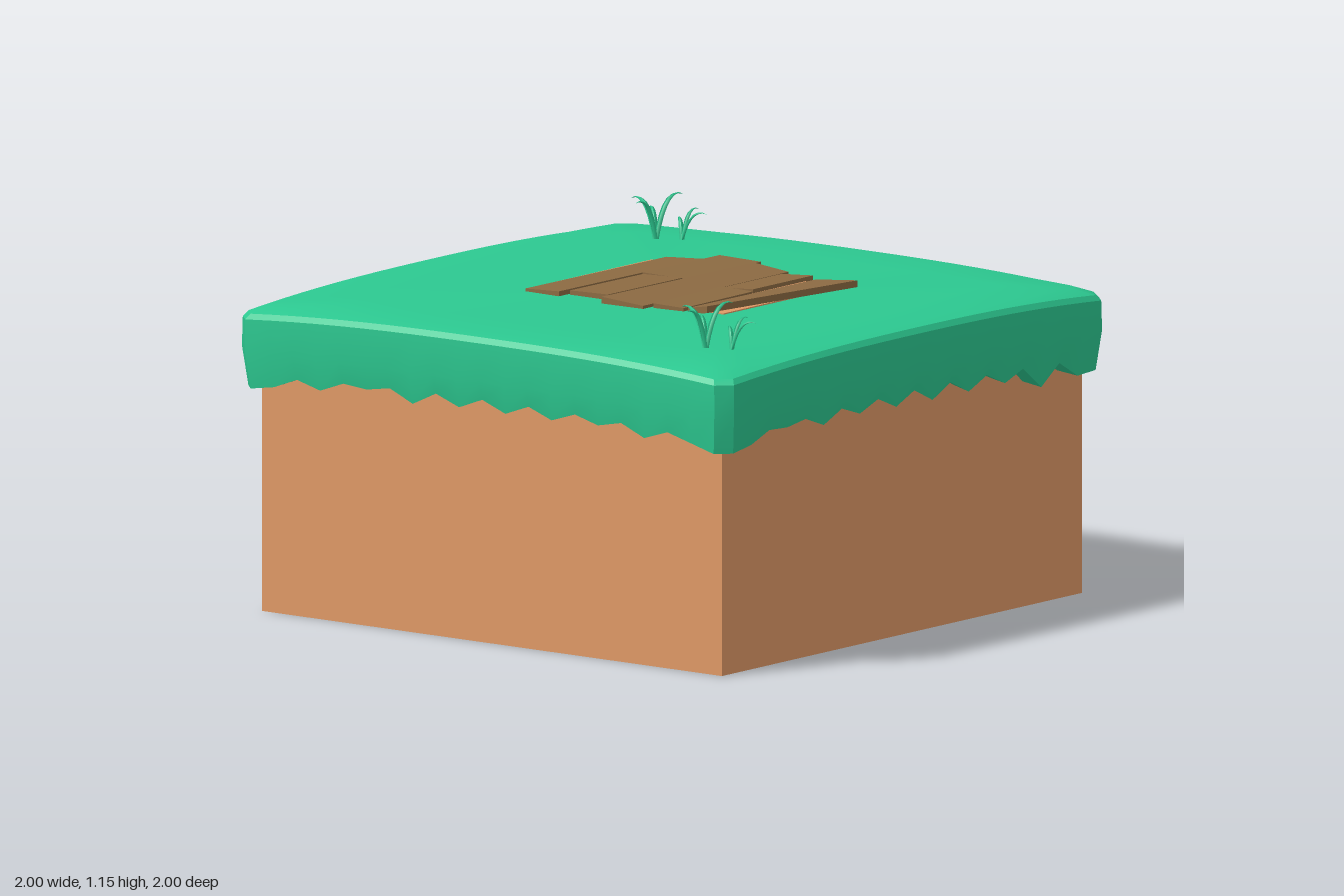
import * as THREE from 'three';
import { toCreasedNormals } from 'three/addons/utils/BufferGeometryUtils.js';

const mat = (color, extra = {}) => new THREE.MeshStandardMaterial({ color, ...extra });
const grassMat = mat(0x2cc890);
const bladeMat = mat(0x2cc890, { side: THREE.DoubleSide });
const dirtMat = mat(0xdf9966);
const woodMat = mat(0x8c6a42, { flatShading: true });

function add(parent, name, geometry, material) {
  const mesh = new THREE.Mesh(geometry, material);
  mesh.name = name;
  parent.add(mesh);
  return mesh;
}

// Heights of the hanging tooth tips along each side (front, right, back, left)
const TIPS = [
  [0.745, 0.755, 0.78, 0.755, 0.765, 0.765, 0.765, 0.77, 0.75, 0.755],
  [0.745, 0.775, 0.755, 0.765, 0.76, 0.755, 0.755, 0.755, 0.715, 0.725],
  [0.725, 0.75, 0.765, 0.76, 0.77, 0.76, 0.75, 0.755, 0.76, 0.745],
  [0.74, 0.755, 0.76, 0.765, 0.755, 0.77, 0.76, 0.75, 0.76, 0.74],
];

// Grass cap: rings around a square, from the inner hem up and over to the centre
function grassCap() {
  const around = [];
  TIPS.forEach((tips, side) => {
    const n = tips.length * 2;
    for (let i = 0; i <= n; i++) {
      const t = -0.955 + (1.91 * i) / n;
      const notch = 0.8 - 0.035 * t * t;
      const end = i === 0 || i === n;
      const hem = end ? 0.73 : i % 2 ? tips[(i - 1) / 2] : notch;
      around.push({ t, side, hem, drop: 0.033 * Math.pow(Math.abs(t), 2.5) });
    }
  });
  const rings = [
    (p) => [0.93, p.hem + 0.02],
    (p) => [0.985, p.hem],
    (p) => [1, 0.86],
    (p) => [0.998, 0.985 - p.drop],
    (p) => [0.985, 1.003 - p.drop],
    (p) => [0.93, 1.011 - p.drop * 0.5],
    () => [0.75, 1.012],
    () => [0, 1.012],
  ];
  const points = [];
  const index = [];
  const n = around.length;
  rings.forEach((ring, r) => {
    around.forEach((p, j) => {
      const [s, y] = ring(p);
      const a = (p.side * Math.PI) / 2;
      const c = Math.round(Math.cos(a)), d = Math.round(Math.sin(a));
      points.push(s * (p.t * c + d), y, s * (c - p.t * d));
      if (r === 0) return;
      const k = (j + 1) % n, lo = (r - 1) * n, hi = r * n;
      index.push(lo + j, lo + k, hi + k);
      if (r < rings.length - 1) index.push(lo + j, hi + k, hi + j);
    });
  });
  const g = new THREE.BufferGeometry();
  g.setAttribute('position', new THREE.Float32BufferAttribute(points, 3));
  g.setIndex(index);
  return toCreasedNormals(g, 0.5);
}

// Plank: a box whose corners move to a back and front edge, tilted from left to right
function plank([bl, br, fr, fl], yLeft, yRight) {
  const g = new THREE.BoxGeometry(1, 1, 1);
  const pos = g.attributes.position;
  for (let i = 0; i < pos.count; i++) {
    const right = pos.getX(i) > 0, front = pos.getZ(i) > 0, top = pos.getY(i) > 0;
    const [x, z] = front ? (right ? fr : fl) : (right ? br : bl);
    pos.setXYZ(i, x, (right ? yRight : yLeft) - (top ? 0 : 0.022), z);
  }
  g.computeVertexNormals();
  return g;
}

// Blade: a flattened four-sided cone bent along an arching curve
function blade(base, tip, width) {
  const a = new THREE.Vector3(...base), b = new THREE.Vector3(...tip);
  const lean = new THREE.Vector3(b.x - a.x, 0, b.z - a.z);
  const reach = lean.length();
  const bend = a.clone().addScaledVector(lean, 0.3);
  bend.y = b.y + reach * 0.3;
  const curve = new THREE.QuadraticBezierCurve3(a, bend, b);
  const side = new THREE.Vector3(-lean.z, 0, lean.x).normalize();
  const g = new THREE.CylinderGeometry(1, 1, 1, 4, 7, true);
  const pos = g.attributes.position;
  for (let i = 0; i < pos.count; i++) {
    const u = pos.getY(i) + 0.5;
    const w = width * (1 - u * u) * (0.75 + 0.6 * u);
    const normal = side.clone().cross(curve.getTangent(u));
    const p = curve.getPoint(u)
      .addScaledVector(side, pos.getX(i) * w)
      .addScaledVector(normal, pos.getZ(i) * w * 0.45);
    pos.setXYZ(i, p.x, p.y, p.z);
  }
  g.computeVertexNormals();
  return g;
}

function grassTuft() {
  const tuft = new THREE.Group();
  tuft.name = 'grassTuft';
  const big = [0, -0.01, 0], small = [0.075, -0.01, -0.04];
  [
    [big, [-0.125, 0.115, -0.03], 0.014],
    [big, [-0.015, 0.125, 0.085], 0.014],
    [big, [-0.08, 0.085, -0.07], 0.011],
    [big, [0.015, 0.13, -0.125], 0.014],
    [small, [0.155, 0.085, -0.07], 0.011],
    [small, [0.08, 0.09, -0.12], 0.01],
    [small, [0.025, 0.06, -0.085], 0.009],
  ].forEach(([base, tip, w]) => add(tuft, 'grassBlade', blade(base, tip, w), bladeMat));
  return tuft;
}

export function createModel() {
  const model = new THREE.Group();
  model.name = 'grassBlock';

  // Dirt block and the bare patch under the planks
  add(model, 'dirtBlock', new THREE.BoxGeometry(1.87, 0.92, 1.87), dirtMat).position.y = 0.46;
  add(model, 'dirtPatch', new THREE.BoxGeometry(0.77, 0.1, 0.61), dirtMat).position.set(0.005, 0.966, -0.075);

  add(model, 'grassCap', grassCap(), grassMat);

  // Boards: corners (x, z) back left, back right, front right, front left, then edge heights
  const planks = new THREE.Group();
  planks.name = 'planks';
  model.add(planks);
  [
    [[[-0.355, -0.425], [-0.215, -0.44], [-0.225, 0.3], [-0.365, 0.295]], 1.021, 1.028],
    [[[-0.21, -0.515], [-0.05, -0.525], [-0.045, -0.135], [-0.215, -0.122]], 1.03, 1.025],
    [[[-0.21, -0.118], [-0.055, -0.125], [-0.06, 0.255], [-0.215, 0.255]], 1.026, 1.03],
    [[[-0.025, -0.46], [0.12, -0.452], [0.125, 0.31], [-0.04, 0.315]], 1.034, 1.022],
    [[[0.125, -0.41], [0.245, -0.42], [0.245, -0.108], [0.125, -0.103]], 1.022, 1.029],
    [[[0.125, -0.098], [0.248, -0.102], [0.255, 0.265], [0.14, 0.275]], 1.027, 1.023],
    [[[0.272, -0.4], [0.44, -0.4], [0.345, 0.26], [0.26, 0.248]], 1.022, 1.038],
  ].forEach(([corners, yl, yr]) => add(planks, 'plank', plank(corners, yl, yr), woodMat));

  // Two matching tufts at opposite corners
  for (const [x, z] of [[-0.61, -0.695], [0.705, 0.725]]) {
    const tuft = grassTuft();
    tuft.position.set(x, 1.012, z);
    model.add(tuft);
  }
  return model;
}
